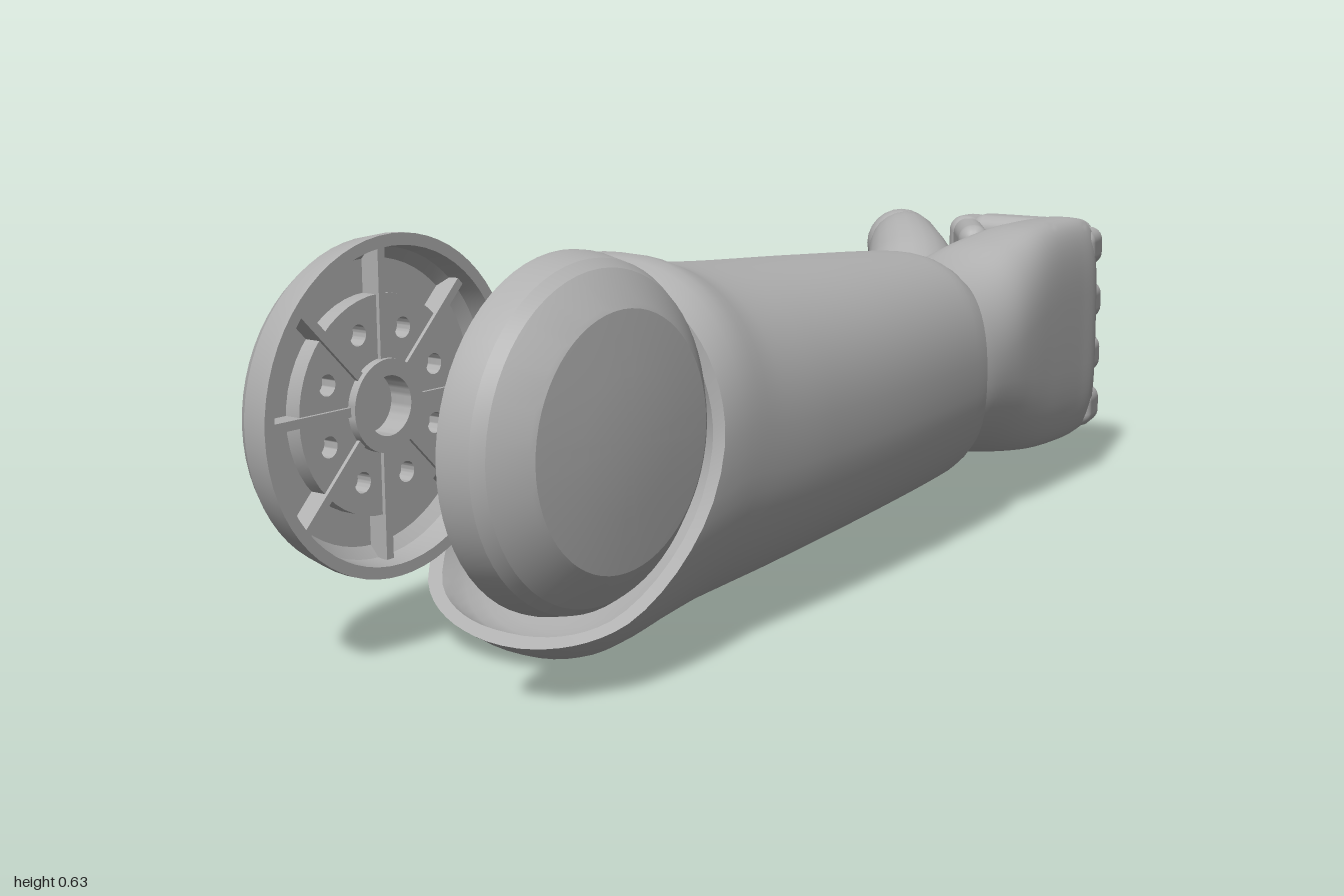
import * as THREE from 'three';
import { toCreasedNormals } from 'three/addons/utils/BufferGeometryUtils.js';
import { RoundedBoxGeometry } from 'three/addons/geometries/RoundedBoxGeometry.js';

const grey = new THREE.MeshStandardMaterial({ color: 0xb0b0b0 });
grey.name = 'armour grey';

function part(parent, name, geometry, x = 0, y = 0, z = 0) {
  const m = new THREE.Mesh(geometry, grey);
  m.name = name;
  m.position.set(x, y, z);
  parent.add(m);
  return m;
}

// Smooth interpolation through [x, a, b, ...] stations
function sample(stations, x) {
  let i = 0;
  while (i < stations.length - 2 && x > stations[i + 1][0]) i++;
  const p = stations[i], q = stations[i + 1];
  const t = THREE.MathUtils.clamp((x - p[0]) / (q[0] - p[0]), 0, 1);
  const before = stations[Math.max(i - 1, 0)], after = stations[Math.min(i + 2, stations.length - 1)];
  return p.slice(1).map((v, k) => {
    const w = q[k + 1], d = q[0] - p[0];
    const m0 = (w - before[k + 1]) / (q[0] - before[0]) * d;
    const m1 = (after[k + 1] - v) / (after[0] - p[0]) * d;
    const t2 = t * t, t3 = t2 * t;
    return v * (2 * t3 - 3 * t2 + 1) + m0 * (t3 - 2 * t2 + t) + w * (3 * t2 - 2 * t3) + m1 * (t3 - t2);
  });
}

// Skin over rings of points; either loops back to the first ring or is capped
function loft(rings, loop, crease = 0.6) {
  const n = rings[0].length, pos = [], idx = [];
  rings.forEach(r => r.forEach(p => pos.push(p.x, p.y, p.z)));
  const rows = loop ? rings.length : rings.length - 1;
  for (let i = 0; i < rows; i++) for (let j = 0; j < n; j++) {
    const a = i * n + j, b = i * n + (j + 1) % n;
    const i2 = ((i + 1) % rings.length) * n;
    const c = i2 + j, d = i2 + (j + 1) % n;
    idx.push(a, c, d, a, d, b);
  }
  if (!loop) [0, rings.length - 1].forEach(i => {
    const c = new THREE.Vector3();
    rings[i].forEach(p => c.addScaledVector(p, 1 / n));
    const k = pos.length / 3;
    pos.push(c.x, c.y, c.z);
    for (let j = 0; j < n; j++) {
      const a = i * n + j, b = i * n + (j + 1) % n;
      if (i === 0) idx.push(k, a, b); else idx.push(k, b, a);
    }
  });
  const g = new THREE.BufferGeometry();
  g.setAttribute('position', new THREE.Float32BufferAttribute(pos, 3));
  g.setIndex(idx);
  return toCreasedNormals(g, crease);
}

// Point on a rounded cross-section with the given bounds
function sectionPoint(x, [y0, y1, z0, z1], angle, power, inset = 0) {
  const f = v => Math.sign(v) * Math.pow(Math.abs(v), 2 / power);
  return new THREE.Vector3(x,
    (y0 + y1) / 2 + ((y1 - y0) / 2 - inset) * f(Math.sin(angle)),
    (z0 + z1) / 2 + ((z1 - z0) / 2 - inset) * f(Math.cos(angle)));
}

// Hollow forearm shell, cut away around the elbow discs
function forearm() {
  const stations = [ // x, bottom, top, back, front
    [-0.70, 0.035, 0.50, -0.225, 0.25], [-0.64, 0.004, 0.52, -0.235, 0.26],
    [-0.49, 0.022, 0.562, -0.24, 0.265], [-0.42, 0.03, 0.585, -0.24, 0.265],
    [-0.34, 0.036, 0.562, -0.237, 0.262], [-0.2, 0.044, 0.546, -0.23, 0.255],
    [0.1, 0.064, 0.525, -0.205, 0.232], [0.36, 0.083, 0.504, -0.175, 0.2],
    [0.40, 0.092, 0.494, -0.168, 0.19], [0.44, 0.115, 0.47, -0.15, 0.17]];
  const cut = [[0, -0.72], [0.04, -0.70], [0.15, -0.59], [0.25, -0.52], [0.36, -0.487], [0.6, -0.487]];
  const N = 64, M = 40;
  const ring = (t, inset) => Array.from({ length: N }, (_, j) => {
    const a = j / N * Math.PI * 2;
    const end = 0.375 + 0.065 * Math.sin(a) ** 2;
    let x = -0.5, p;
    for (let k = 0; k < 12; k++) {
      p = sectionPoint(x, sample(stations, x), a, 2.3, inset);
      x += 0.6 * (THREE.MathUtils.lerp(sample(cut, p.y)[0], end, t) - x);
    }
    p.x = x;
    return p;
  });
  const rings = [];
  for (let i = 0; i <= M; i++) rings.push(ring(i / M, 0));
  for (let i = M; i >= 0; i--) rings.push(ring(i / M, 0.022));
  return loft(rings, true);
}

// Wrist, palm and back of the hand
function palm() {
  const stations = [
    [0.30, 0.15, 0.44, -0.12, 0.15], [0.38, 0.14, 0.455, -0.135, 0.165],
    [0.44, 0.122, 0.46, -0.145, 0.175], [0.52, 0.112, 0.475, -0.125, 0.175],
    [0.60, 0.1, 0.5, -0.08, 0.167], [0.70, 0.09, 0.52, -0.03, 0.153],
    [0.85, 0.085, 0.522, -0.005, 0.132], [0.91, 0.092, 0.517, 0.01, 0.125],
    [0.935, 0.1, 0.508, 0.02, 0.117], [0.948, 0.125, 0.485, 0.035, 0.1]];
  const rings = [];
  for (let i = 0; i <= 40; i++) {
    const x = 0.30 + 0.648 * i / 40, s = sample(stations, x);
    const power = 2.2 + 1.3 * THREE.MathUtils.smoothstep(x, 0.45, 0.75);
    rings.push(Array.from({ length: 48 }, (_, j) => sectionPoint(x, s, j / 48 * Math.PI * 2, power)));
  }
  return loft(rings, false);
}

// Limb along a path; each station is [x, y, z, radius], with rounded ends
function limb(points, n = 24) {
  const curve = new THREE.CatmullRomCurve3(points.map(p => new THREE.Vector3(p[0], p[1], p[2])));
  const radii = points.map((p, i) => [i / (points.length - 1), p[3]]);
  const steps = 32, { normals, binormals } = curve.computeFrenetFrames(steps);
  const length = curve.getLength(), rings = [];
  for (let i = 0; i <= steps; i++) {
    const u = i / steps, t = curve.getUtoTmapping(u), p = curve.getPoint(t);
    let r = sample(radii, t)[0];
    const d = Math.min(u, 1 - u) * length;
    if (d < r) r *= Math.sqrt(Math.max(0.01, 1 - (1 - d / r) ** 2));
    rings.push(Array.from({ length: n }, (_, j) => {
      const a = j / n * Math.PI * 2;
      return p.clone().addScaledVector(normals[i], r * Math.cos(a)).addScaledVector(binormals[i], -r * Math.sin(a));
    }));
  }
  return loft(rings, false, 1);
}

// Elbow disc with domed outer face along +z and a ribbed cup inside
function elbowDisc(name, plated) {
  const g = new THREE.Group();
  g.name = name;
  const profile = [[0, 0.055], [0.215, 0.055], [0.232, 0.04], [0.237, 0], [0.255, 0], [0.255, 0.012],
    [0.247, 0.05], [0.235, 0.068], [0.19, 0.104], [0.183, 0.108], [0.1, 0.116], [0, 0.12]];
  const lathe = new THREE.LatheGeometry(profile.map(p => new THREE.Vector2(...p)), 64);
  lathe.rotateX(Math.PI / 2);
  part(g, 'disc cap', toCreasedNormals(lathe, 0.3));
  const shape = (r, hole) => {
    const s = new THREE.Shape().absarc(0, 0, r, 0, Math.PI * 2);
    s.holes.push(new THREE.Path().absarc(0, 0, hole, 0, Math.PI * 2, true));
    return s;
  };
  const extrude = (s, depth) => toCreasedNormals(
    new THREE.ExtrudeGeometry(s, { depth, bevelEnabled: false, curveSegments: 24 }), 0.6);
  part(g, 'hub', extrude(shape(0.07, 0.045), 0.045), 0, 0, 0.014);
  if (plated) {
    const plate = shape(0.165, 0.05);
    for (let i = 0; i < 8; i++) {
      const a = (i + 0.5) * Math.PI / 4;
      plate.holes.push(new THREE.Path().absarc(0.118 * Math.cos(a), 0.118 * Math.sin(a), 0.016, 0, Math.PI * 2, true));
    }
    part(g, 'drilled plate', extrude(plate, 0.03), 0, 0, 0.028);
  }
  for (let i = 0; i < 8; i++) {
    const a = i * Math.PI / 4;
    const rib = part(g, 'rib', new THREE.BoxGeometry(0.17, 0.014, 0.036), 0.148 * Math.cos(a), 0.148 * Math.sin(a), 0.04);
    rib.rotation.z = a;
  }
  return g;
}

export function createModel() {
  const model = new THREE.Group();
  model.name = 'armoured forearm';
  part(model, 'forearm shell', forearm());

  // Elbow discs, facing outwards on both sides
  const front = elbowDisc('front elbow disc', false);
  front.position.set(-0.745, 0.38, 0.175);
  const back = elbowDisc('back elbow disc', true);
  back.position.set(-0.745, 0.38, -0.146);
  back.rotation.y = Math.PI;
  model.add(front, back);

  const hand = new THREE.Group();
  hand.name = 'fist';
  model.add(hand);
  part(hand, 'palm', palm());

  // Four curled fingers
  [0.46, 0.352, 0.245, 0.142].forEach((y, i) => {
    const finger = new THREE.Group();
    finger.name = 'finger ' + (i + 1);
    hand.add(finger);
    const knuckle = part(finger, 'knuckle', new RoundedBoxGeometry(0.1, 0.075, 0.11, 4, 0.025), 0.937, y - 0.004, 0.058);
    knuckle.rotation.y = 0.25;
    const middle = part(finger, 'middle segment', new RoundedBoxGeometry(0.085, 0.095, 0.25, 4, 0.03), 0.948, y, -0.04);
    middle.rotation.y = 0.09;
    part(finger, 'end joint', new RoundedBoxGeometry(0.092, 0.09, 0.07, 4, 0.03), 0.927, y, -0.168);
    const tip = part(finger, 'fingertip', new RoundedBoxGeometry(0.17, 0.082, 0.06, 4, 0.028), 0.855, y, -0.125);
    tip.rotation.y = 0.62;
  });

  // Thumb wrapped over the fingers
  const thumb = new THREE.Group();
  thumb.name = 'thumb';
  hand.add(thumb);
  part(thumb, 'thumb base', limb([[0.41, 0.3, -0.03, 0.1], [0.52, 0.35, -0.06, 0.105],
    [0.61, 0.42, -0.11, 0.09], [0.69, 0.462, -0.175, 0.07], [0.76, 0.465, -0.215, 0.06]]));
  part(thumb, 'thumb middle', limb([[0.66, 0.46, -0.17, 0.066], [0.74, 0.465, -0.215, 0.065],
    [0.81, 0.43, -0.235, 0.06], [0.85, 0.38, -0.24, 0.052]]));
  part(thumb, 'thumb tip', limb([[0.80, 0.44, -0.23, 0.052], [0.85, 0.385, -0.245, 0.056],
    [0.87, 0.325, -0.245, 0.05], [0.87, 0.27, -0.238, 0.036]]));
  return model;
}
